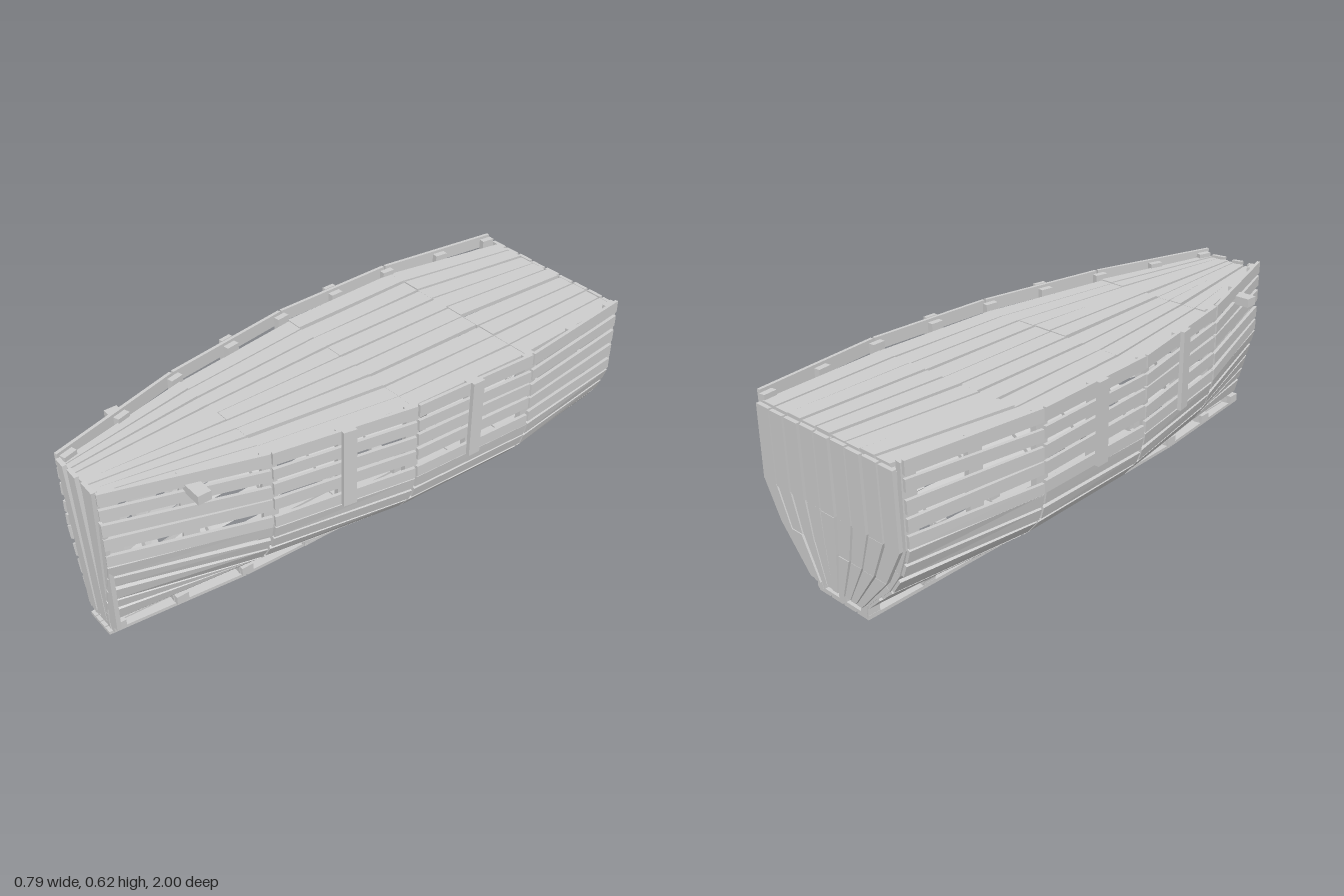
import * as THREE from 'three';

const material = new THREE.MeshStandardMaterial({ color: 0xcccccc, flatShading: true });
const V = (x, y, z) => new THREE.Vector3(x, y, z);

// Hull stations: z, half width of the topsides, half width at the keel, bilge bulge
const stations = [
  [0.995, 0.125, 0.05, 0],
  [0.5, 0.28, 0.1, 0.8],
  [0, 0.37, 0.13, 1],
  [-0.49, 0.388, 0.14, 1],
  [-0.975, 0.33, 0.125, 0.7],
];
const chine = 0.33, foot = 0.045, gunwale = 0.615;
const bilge = [[0.045, 0], [0.1, 0.31], [0.155, 0.66], [0.23, 0.9], [0.28, 0.96], [0.33, 1]];

// Interpolated station values at any z
function stationAt(z) {
  let i = 0;
  while (i < stations.length - 2 && z < stations[i + 1][0]) i++;
  const a = stations[i], b = stations[i + 1];
  const t = THREE.MathUtils.clamp((z - a[0]) / (b[0] - a[0]), 0, 1);
  return a.map((v, k) => v + (b[k] - v) * t);
}

// Half width of the hull at height y
function halfWidth(z, y) {
  const [, top, keel, bulge] = stationAt(z);
  if (y >= chine) return top;
  let f = 0;
  for (let i = 0; i < bilge.length - 1; i++) {
    const [y0, f0] = bilge[i], [y1, f1] = bilge[i + 1];
    if (y >= y0) f = f0 + (f1 - f0) * (y - y0) / (y1 - y0);
  }
  const straight = Math.max(0, (y - foot) / (chine - foot));
  return keel + (top - keel) * (straight + (f - straight) * bulge);
}

// Small seeded wobble for the hand-laid planks
let seed = 7;
const wobble = (s) => {
  seed = (seed * 16807) % 2147483647;
  return (seed / 2147483647 - 0.5) * 2 * s;
};

// Solid board from four corners, thickened behind its face
function board(parent, name, corners, thickness) {
  const [a, b, c, d] = corners;
  const n = c.clone().sub(a).cross(d.clone().sub(b)).normalize().multiplyScalar(-thickness);
  const p = [...corners, ...corners.map((q) => q.clone().add(n))];
  const quads = [[0, 1, 2, 3], [7, 6, 5, 4], [0, 4, 5, 1], [1, 5, 6, 2], [2, 6, 7, 3], [3, 7, 4, 0]];
  const pos = [];
  for (const [i, j, k, l] of quads) for (const m of [i, j, k, i, k, l]) pos.push(...p[m].toArray());
  const geo = new THREE.BufferGeometry();
  geo.setAttribute('position', new THREE.Float32BufferAttribute(pos, 3));
  geo.computeVertexNormals();
  const mesh = new THREE.Mesh(geo, material);
  mesh.name = name;
  parent.add(mesh);
}

// Board on one side of the hull; side is +1 (left) or -1 (right)
function sideBoard(parent, name, side, corners, thickness) {
  const pts = corners.map(([x, y, z]) => V(x * side, y, z));
  board(parent, name, side > 0 ? pts : pts.reverse(), thickness);
}

function box(parent, name, w, h, d, x, y, z) {
  const mesh = new THREE.Mesh(new THREE.BoxGeometry(w, h, d), material);
  mesh.name = name;
  mesh.position.set(x, y, z);
  parent.add(mesh);
}

export function createModel() {
  const boat = new THREE.Group();
  boat.name = 'plankBoat';
  const add = (name) => {
    const g = new THREE.Group();
    g.name = name;
    boat.add(g);
    return g;
  };
  const ribZ = [0.96, 0.74, 0.5, 0.25, 0.01, -0.24, -0.49, -0.73, -0.95];

  // Side strakes in four lengths per row
  const rows = [[0.57, 0.615], [0.512, 0.552], [0.452, 0.496], [0.396, 0.438], [0.334, 0.374],
    [0.285, 0.33], [0.23, 0.272], [0.165, 0.214], [0.108, 0.148], [0.045, 0.098]];
  const strakes = add('sideStrakes');
  for (const side of [1, -1]) for (const [lo, hi] of rows) for (let s = 0; s < 4; s++) {
    const z0 = stations[s][0] - (s ? 0.004 : 0), z1 = stations[s + 1][0] + 0.004;
    const edge = hi === gunwale || lo === foot ? 0 : 0.007;
    const d0 = wobble(edge), d1 = wobble(edge);
    const at = (y, z) => [halfWidth(z, y), y, z];
    sideBoard(strakes, 'strake', side,
      [at(lo + d0, z0), at(lo + d1, z1), at(hi + d1, z1), at(hi + d0, z0)], 0.012);
  }

  // Ribs inside the planking, with feet down to the bottom boards
  const ribs = add('ribs');
  for (const side of [1, -1]) for (const z of ribZ) {
    const levels = [0.01, 0.055, 0.1, 0.155, 0.23, chine, 0.605];
    for (let i = 0; i < levels.length - 1; i++) {
      const at = (y, q) => [y < foot ? Math.min(halfWidth(q, foot), 0.115) : halfWidth(q, y) - 0.013, y, q];
      const lo = levels[i], hi = levels[i + 1], f = z + 0.024, r = z - 0.024;
      sideBoard(ribs, 'rib', side, [at(lo, f), at(lo, r), at(hi, r), at(hi, f)], 0.022);
    }
  }

  // Outside battens on the topsides
  const battens = add('outerBattens');
  for (const side of [1, -1]) for (const z of [0.25, -0.235]) {
    const at = (y, q) => [halfWidth(q, y) + 0.015, y, q];
    const f = z + 0.023, r = z - 0.023;
    sideBoard(battens, 'batten', side, [at(0.33, f), at(0.33, r), at(0.617, r), at(0.617, f)], 0.015);
  }

  // Deck boards converging on the bow, over cross beams
  const deck = add('deck');
  const count = 9;
  const skew = [0, 0, 0, -0.008, 0.015];
  for (let s = 0; s < 4; s++) {
    const z0 = stations[s][0] - 0.012, z1 = stations[s + 1][0] - (s < 3 ? 0.012 : 0);
    const w0 = stationAt(z0)[1] - (s ? 0.038 : 0.015), w1 = stationAt(z1)[1] - 0.038;
    for (let i = 0; i < count; i++) {
      const u0 = (i + 0.05) / count * 2 - 1, u1 = (i + 0.93) / count * 2 - 1;
      const j0 = skew[s] + wobble(0.004), j1 = skew[s + 1] + wobble(0.004);
      const y = 0.588 + wobble(0.003);
      board(deck, 'deckBoard', [V(u0 * w0 + j0, y, z0), V(u1 * w0 + j0, y, z0),
        V(u1 * w1 + j1, y, z1), V(u0 * w1 + j1, y, z1)], 0.014);
    }
  }
  for (const z of ribZ) {
    if (z === 0.74) box(deck, 'overhangingBeam', 0.54, 0.032, 0.046, 0, 0.562, 0.73);
    else box(deck, 'deckBeam', 2 * stationAt(z)[1] - 0.05, 0.028, 0.044, 0, 0.558, z);
  }

  // Bottom boards with spacer blocks between them and the ribs
  const bottom = add('bottom');
  const keelWidth = (z) => Math.min(stationAt(z)[2] + 0.01, 0.122);
  for (let s = 0; s < 4; s++) for (let i = 0; i < 4; i++) {
    const z0 = stations[s][0], z1 = stations[s + 1][0] + 0.004;
    const w0 = keelWidth(z0), w1 = keelWidth(z1);
    const u0 = i / 2 - 0.97, u1 = i / 2 - 0.54;
    board(bottom, 'bottomBoard', [V(u0 * w0, 0.012, z0), V(u1 * w0, 0.012, z0),
      V(u1 * w1, 0.012, z1), V(u0 * w1, 0.012, z1)], 0.012);
  }
  for (const z of ribZ) {
    const w = keelWidth(z);
    box(bottom, 'crossPiece', 2 * w, 0.008, 0.044, 0, 0.014, z);
    for (const u of [-0.85, 0, 0.85]) box(bottom, 'spacer', 0.035, 0.03, 0.044, u * w, 0.028, z);
  }

  // Leaning bow boards: top left/right x, bottom left/right x
  const bow = add('bowBoards');
  const bowBoards = [[-0.115, -0.075, -0.052, -0.005], [-0.05, -0.005, 0, 0.055],
    [0.03, 0.09, 0.045, 0.068], [0.104, 0.124, 0.07, 0.115]];
  bowBoards.forEach(([a, b, c, d], i) => {
    const top = i === 3 ? 0.5 : 0.6, z = 0.998 - i * 0.002;
    board(bow, 'bowBoard', [V(c, 0.062, z), V(d, 0.062, z), V(b, top - 0.004, z), V(a, top, z)], 0.015);
  });
  box(bow, 'bowCrossBar', 0.22, 0.03, 0.02, 0, 0.56, 0.97);

  // Stern boards bent at the chine
  const stern = add('sternBoards');
  const sternLevels = [[0.06, 0.125], [0.2, 0.25], [chine, 0.318], [0.585, 0.312]];
  const sternCount = 9;
  for (let i = 0; i < sternCount; i++) {
    const u0 = (i + 0.06) / sternCount * 2 - 1, u1 = (i + 0.92) / sternCount * 2 - 1;
    for (let k = 0; k < 3; k++) {
      const [y0, w0] = sternLevels[k], [y1, w1] = sternLevels[k + 1];
      const z = -0.996 + wobble(0.003);
      board(stern, 'sternBoard', [V(u1 * w0, y0, z), V(u0 * w0, y0, z),
        V(u0 * w1, y1, z), V(u1 * w1, y1, z)], 0.014);
    }
  }
  for (const [y, w] of [[0.09, 0.27], [0.32, 0.6], [0.555, 0.6]])
    box(stern, 'sternCrossBar', w, 0.035, 0.018, 0, y, -0.972);

  return boat;
}
